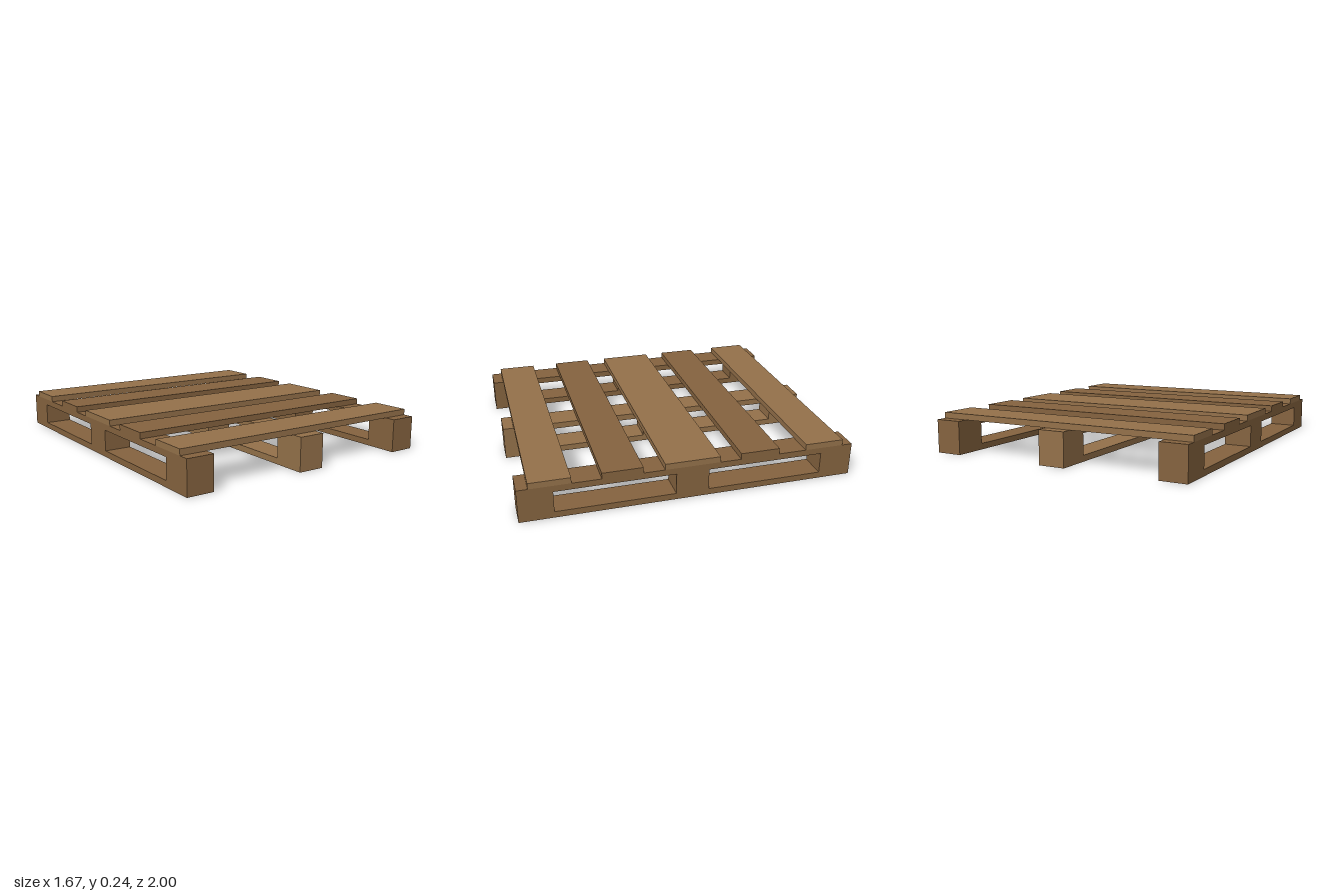
import * as THREE from 'three';

const HALF_WIDTH = 0.833;
const RUNNER_WIDTH = 0.166;
const RUNNER_TOP = 0.204;
const TOP = 0.24;

const lightWood = new THREE.MeshStandardMaterial({ color: 0x94714a });
const darkWood = new THREE.MeshStandardMaterial({ color: 0x85633f });

// Closed rectangle path in the side profile (z, y)
function rectangle(path, z0, y0, z1, y1) {
  path.moveTo(z0, y0);
  path.lineTo(z1, y0);
  path.lineTo(z1, y1);
  path.lineTo(z0, y1);
  path.closePath();
  return path;
}

// Runner: bottom board, three blocks and top board, leaving two fork openings
function runnerGeometry() {
  const profile = rectangle(new THREE.Shape(), -1, 0, 1, RUNNER_TOP);
  profile.holes.push(
    rectangle(new THREE.Path(), -0.8, 0.038, -0.098, 0.166),
    rectangle(new THREE.Path(), 0.098, 0.038, 0.8, 0.166)
  );
  const geometry = new THREE.ExtrudeGeometry(profile, { depth: RUNNER_WIDTH, bevelEnabled: false });
  geometry.translate(0, 0, -RUNNER_WIDTH / 2);
  return geometry.rotateY(-Math.PI / 2);
}

export function createModel() {
  const pallet = new THREE.Group();
  pallet.name = 'pallet';

  // Three runners along z
  const runner = runnerGeometry();
  const sideX = HALF_WIDTH - RUNNER_WIDTH / 2;
  for (const [name, x, material] of [
    ['rightRunner', -sideX, darkWood],
    ['centreRunner', 0, lightWood],
    ['leftRunner', sideX, darkWood],
  ]) {
    const mesh = new THREE.Mesh(runner, material);
    mesh.name = name;
    mesh.position.x = x;
    pallet.add(mesh);
  }

  // Five deck boards across x, the middle one wider
  const thickness = TOP - RUNNER_TOP;
  for (const [name, z, depth, material] of [
    ['backDeckBoard', -0.817, 0.238, lightWood],
    ['backInnerDeckBoard', -0.41, 0.238, darkWood],
    ['centreDeckBoard', 0, 0.33, lightWood],
    ['frontInnerDeckBoard', 0.41, 0.238, darkWood],
    ['frontDeckBoard', 0.817, 0.238, lightWood],
  ]) {
    const mesh = new THREE.Mesh(new THREE.BoxGeometry(2 * HALF_WIDTH, thickness, depth), material);
    mesh.name = name;
    mesh.position.set(0, RUNNER_TOP + thickness / 2, z);
    pallet.add(mesh);
  }

  return pallet;
}
